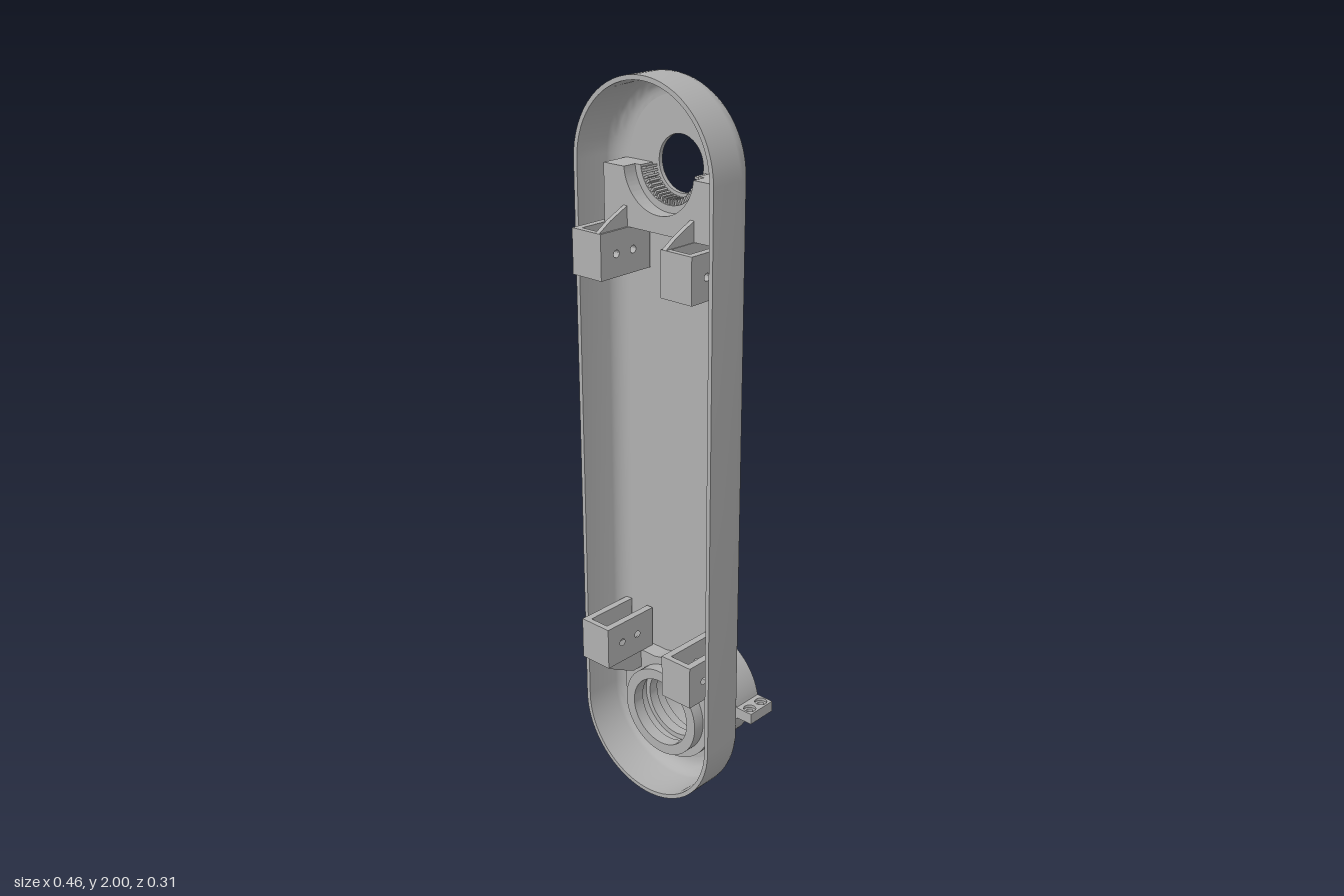
import * as THREE from 'three';
import { toCreasedNormals } from 'three/addons/utils/BufferGeometryUtils.js';

const grey = new THREE.MeshStandardMaterial({ color: 0xb0b0b0 });
grey.name = 'grey plastic';

const R = 0.23, LOW = 0.235, HIGH = 1.77;   // shell radius, centres of the two bores

function part(parent, name, geometry) {
  const mesh = new THREE.Mesh(geometry, grey);
  mesh.name = name;
  parent.add(mesh);
  return mesh;
}

function polygon(points) {
  return new THREE.Shape(points.map(([x, y]) => new THREE.Vector2(x, y)));
}

function addHole(shape, x, y, r) {
  const path = new THREE.Path();
  path.absarc(x, y, r, 0, Math.PI * 2, true);
  shape.holes.push(path);
}

// Extrusions along z, x and y between two limits
function alongZ(shape, z0, z1) {
  const g = new THREE.ExtrudeGeometry(shape, { depth: z1 - z0, bevelEnabled: false, curveSegments: 32 });
  return toCreasedNormals(g.translate(0, 0, z0), 0.5);
}
const alongX = (shape, x0, x1) => alongZ(shape, x0, x1).rotateY(Math.PI / 2);   // shape holds (-z, y)
const alongY = (shape, y0, y1) => alongZ(shape, y0, y1).rotateX(-Math.PI / 2);  // shape holds (x, -z)

// Counter-clockwise outline with two round ends
function stadium(r, n = 32) {
  const pts = [];
  for (const [cy, start] of [[2 - R, 0], [R, Math.PI]]) {
    for (let i = 0; i <= n; i++) {
      const a = start + Math.PI * i / n;
      pts.push([r * Math.cos(a), cy + r * Math.sin(a)]);
    }
  }
  return pts;
}

// Rounded side wall: loops of outlines along a section of [radius, z]
function wallGeometry() {
  const section = [], steps = 8, mid = R - 0.06;
  for (let i = 0; i <= steps; i++) {
    const a = Math.PI / 2 * i / steps;
    section.push([mid + 0.06 * Math.sin(a), 0.02 - 0.06 * Math.cos(a)]);
  }
  section.push([R, 0.115], [R - 0.012, 0.115]);
  for (let i = steps; i >= 0; i--) {
    const a = Math.PI / 2 * i / steps;
    section.push([mid + 0.048 * Math.sin(a), 0.02 - 0.048 * Math.cos(a)]);
  }
  const pos = [], index = [];
  section.forEach(([r, z]) => stadium(r).forEach(([x, y]) => pos.push(x, y, z)));
  const n = stadium(1).length;
  for (let j = 0; j < section.length - 1; j++) {
    for (let i = 0; i < n; i++) {
      const a = j * n + i, b = j * n + (i + 1) % n;
      index.push(a, b, b + n, a, b + n, a + n);
    }
  }
  const g = new THREE.BufferGeometry();
  g.setAttribute('position', new THREE.Float32BufferAttribute(pos, 3));
  g.setIndex(index);
  return toCreasedNormals(g, 0.6);
}

// Saddle block with a round notch of radius r
function saddleShape(r) {
  const s = polygon([[-0.185, 1.76], [-0.185, 1.61], [0.185, 1.61], [0.185, 1.76]]);
  const a = Math.asin(0.01 / r);
  s.lineTo(r * Math.cos(a), 1.76);
  s.absarc(0, HIGH, r, -a, -Math.PI + a, true);
  s.closePath();
  return s;
}

// Square socket open along y, with a sloping rib on its inner side
function socket(parent, side, upper) {
  const group = new THREE.Group();
  group.name = (upper ? 'upper' : 'lower') + (side > 0 ? 'Left' : 'Right') + 'Socket';
  parent.add(group);
  const Y = y => (upper ? y : 1.99 - y);
  const span = (a, b) => (side > 0 ? [a, b] : [-b, -a]);
  for (const [a, b] of [[0.1, 0.12], [0.18, 0.2]]) {
    const wall = polygon([[-0.155, Y(1.49)], [0.022, Y(1.49)], [0.022, Y(1.61)], [-0.155, Y(1.61)]]);
    for (const z of [0.04, 0.1]) addHole(wall, -z, Y(1.55), 0.01);
    part(group, 'socketSide', alongX(wall, ...span(a, b)));
  }
  const front = new THREE.BoxGeometry(0.06, 0.12, 0.016);
  part(group, 'socketFront', front).position.set(side * 0.15, Y(1.55), 0.147);
  const rib = polygon([[-0.155, Y(1.61)], [-0.115, Y(1.635)], [-0.05, Y(1.665)], [0.025, Y(1.665)], [0.025, Y(1.61)]]);
  part(group, 'socketRib', alongX(rib, ...span(0.105, 0.118)));
}

export function createModel() {
  const model = new THREE.Group();
  model.name = 'armCover';

  // Tray-shaped cover
  const shell = new THREE.Group();
  shell.name = 'shell';
  model.add(shell);
  part(shell, 'sideWall', wallGeometry());
  const floor = polygon(stadium(R - 0.06));
  addHole(floor, 0, HIGH, 0.073);
  addHole(floor, 0, LOW, 0.14);
  part(shell, 'backPlate', alongZ(floor, -0.04, -0.028));

  // Upper bearing saddle with a toothed half ring
  const saddle = new THREE.Group();
  saddle.name = 'upperSaddle';
  model.add(saddle);
  part(saddle, 'saddleBase', alongZ(saddleShape(0.096), -0.03, 0.015));
  part(saddle, 'saddleRim', alongZ(saddleShape(0.115), 0.015, 0.055));
  for (let i = 0; i < 22; i++) {
    const a = Math.PI * (1.06 + 0.88 * i / 21);
    const tooth = part(saddle, 'tooth', new THREE.BoxGeometry(0.016, 0.006, 0.04));
    tooth.position.set(0.09 * Math.cos(a), HIGH + 0.09 * Math.sin(a), -0.008);
    tooth.rotation.z = a;
  }

  // Lower bearing tube running through the back plate
  const bearing = new THREE.Group();
  bearing.name = 'lowerBearing';
  model.add(bearing);
  const profile = [
    [0.153, -0.157], [0.153, 0.02], [0.13, 0.02], [0.13, 0.055], [0.1, 0.055], [0.1, 0.02],
    [0.115, 0.02], [0.115, -0.01], [0.1, -0.01], [0.1, -0.04], [0.12, -0.04], [0.12, -0.08],
    [0.136, -0.08], [0.136, -0.157], [0.153, -0.157],
  ].map(([r, z]) => new THREE.Vector2(r, z));
  const tube = toCreasedNormals(new THREE.LatheGeometry(profile, 64), 0.5).rotateX(Math.PI / 2);
  part(bearing, 'bearingTube', tube).position.y = LOW;
  const block = polygon([[-0.165, LOW], [-0.165, 0.38], [0.165, 0.38], [0.165, LOW], [0.145, LOW]]);
  block.absarc(0, LOW, 0.145, 0, Math.PI, false);
  block.closePath();
  part(bearing, 'bearingBlock', alongZ(block, -0.03, 0.02));

  // Half clamp and its drilled ears behind the plate
  const clamp = new THREE.Group();
  clamp.name = 'rearClamp';
  model.add(clamp);
  const half = new THREE.Shape();
  half.absarc(0, LOW, 0.182, 0, Math.PI, false);
  half.absarc(0, LOW, 0.145, Math.PI, 0, true);
  half.closePath();
  part(clamp, 'clampHalf', alongZ(half, -0.157, -0.065));
  for (const side of [1, -1]) {
    for (const [r, y0, y1] of [[0.01, 0.238, 0.262], [0.017, 0.262, 0.27]]) {
      const ear = polygon([[side * 0.172, 0.065], [side * 0.231, 0.065], [side * 0.231, 0.157], [side * 0.172, 0.157]]);
      for (const z of [-0.135, -0.087]) addHole(ear, side * 0.208, -z, r);
      part(clamp, side > 0 ? 'leftEar' : 'rightEar', alongY(ear, y0, y1));
    }
  }

  // Four mounting sockets
  for (const side of [1, -1]) for (const upper of [true, false]) socket(model, side, upper);

  return model;
}
